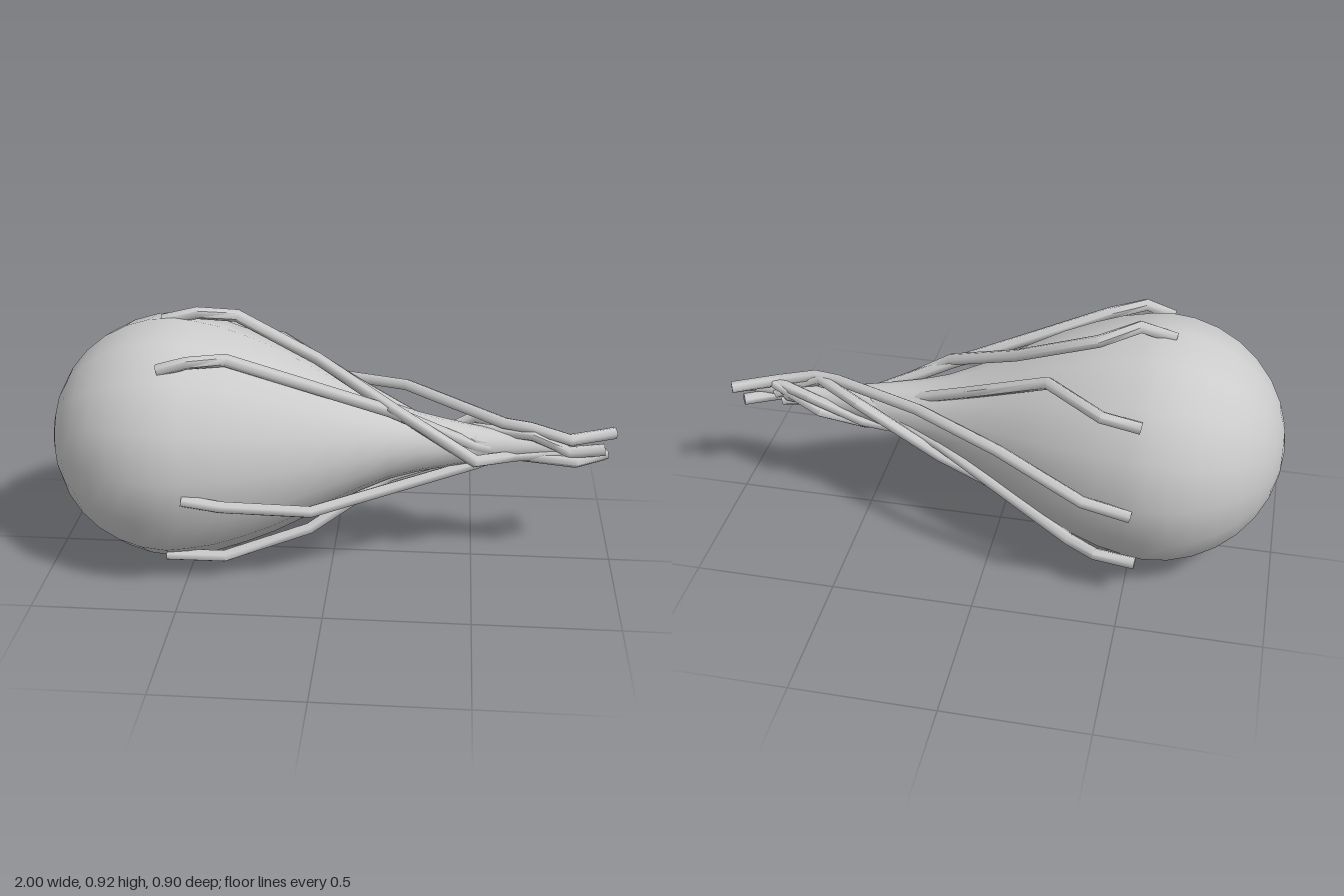
import * as THREE from 'three';
import { toCreasedNormals } from 'three/addons/utils/BufferGeometryUtils.js';

const material = new THREE.MeshStandardMaterial({ color: 0xcccccc });

// Six-sided rod swept along a polyline, with mitred bends and flat caps
function vineGeometry(coords, radius = 0.022, sides = 6) {
  const pts = coords.map(c => new THREE.Vector3(...c));
  const last = pts.length - 1;
  const dir = i => pts[i + 1].clone().sub(pts[i]).normalize();
  const pos = [], index = [];
  const u = new THREE.Vector3(0, 1, 0);
  pts.forEach((p, i) => {
    const before = dir(Math.max(i - 1, 0)), after = dir(Math.min(i, last - 1));
    const mitre = before.clone().add(after).normalize();
    u.addScaledVector(before, -u.dot(before)).normalize();
    const v = before.clone().cross(u);
    for (let s = 0; s < sides; s++) {
      const a = s / sides * Math.PI * 2;
      const offset = u.clone().multiplyScalar(Math.cos(a) * radius).addScaledVector(v, Math.sin(a) * radius);
      // slide along the incoming rod until the mitre plane is reached
      offset.addScaledVector(before, -offset.dot(mitre) / before.dot(mitre)).add(p);
      pos.push(...offset.toArray());
      if (i < last) {
        const b = i * sides + s, c = i * sides + (s + 1) % sides;
        index.push(b, c, b + sides, c, c + sides, b + sides);
      }
    }
  });
  for (let s = 1; s < sides - 1; s++) {
    index.push(0, s + 1, s);
    index.push(last * sides, last * sides + s, last * sides + s + 1);
  }
  const g = new THREE.BufferGeometry();
  g.setAttribute('position', new THREE.Float32BufferAttribute(pos, 3));
  g.setIndex(index);
  return toCreasedNormals(g, 1.1);
}

export function createModel() {
  const group = new THREE.Group();

  // Bulb: rounded end, then a long taper into a thin neck
  const profile = [];
  for (let i = 0; i <= 8; i++) {
    const a = i / 8 * Math.PI / 2;
    profile.push(new THREE.Vector2(Math.sin(a) * 0.437, -0.56 - Math.cos(a) * 0.44));
  }
  const taper = new THREE.SplineCurve([
    [0.437, -0.56], [0.41, -0.4], [0.335, -0.2], [0.23, 0], [0.135, 0.2],
    [0.085, 0.4], [0.05, 0.6], [0.03, 0.8],
  ].map(p => new THREE.Vector2(...p)));
  profile.push(...taper.getPoints(14).slice(1), new THREE.Vector2(0, 0.83));
  const bulb = new THREE.Mesh(new THREE.LatheGeometry(profile, 16), material);
  bulb.name = 'bulb';
  bulb.rotation.z = -Math.PI / 2;
  bulb.position.set(0, 0.45, 0.012);
  group.add(bulb);

  // Vines: rooted on the bulb, twisting together around the neck
  const vines = {
    vineTop: [[-0.6, 0.87, -0.01], [-0.48, 0.9, -0.01], [-0.35, 0.87, -0.08], [-0.06, 0.74, -0.02],
      [0.2, 0.615, 0.1], [0.5, 0.425, 0.11], [0.64, 0.42, 0.04], [0.82, 0.43, 0.03]],
    vineTopFront: [[-0.57, 0.79, 0.27], [-0.47, 0.82, 0.275], [-0.35, 0.81, 0.21], [0.2, 0.6, 0.1],
      [0.5, 0.46, 0.06], [0.66, 0.42, 0.03], [0.85, 0.41, 0.05], [0.96, 0.415, -0.015]],
    vineTopBack: [[-0.53, 0.715, -0.33], [-0.4, 0.74, -0.33], [-0.2, 0.755, -0.19], [0.1, 0.61, -0.09],
      [0.3, 0.52, -0.03], [0.5, 0.48, 0.05], [0.7, 0.43, 0.02], [0.82, 0.41, 0.02]],
    vineBack: [[-0.52, 0.42, -0.42], [-0.36, 0.465, -0.43], [-0.06, 0.565, -0.34], [0.25, 0.585, -0.19],
      [0.6, 0.53, 0.01], [0.69, 0.525, 0.03], [0.83, 0.485, 0.035], [0.99, 0.483, -0.045]],
    vineFront: [[-0.48, 0.385, 0.42], [-0.35, 0.36, 0.41], [-0.06, 0.295, 0.29], [0.5, 0.365, 0],
      [0.66, 0.42, -0.04], [0.85, 0.48, 0.02]],
    vineBottomFront: [[-0.57, 0.095, 0.26], [-0.37, 0.085, 0.24], [-0.08, 0.145, 0.12],
      [0.2, 0.32, 0.03], [0.5, 0.4, -0.04], [0.7, 0.47, -0.03], [0.85, 0.48, 0.03]],
    vineBottom: [[-0.56, 0.04, -0.11], [-0.42, 0.025, -0.1], [-0.23, 0.07, -0.04], [0.2, 0.34, -0.11],
      [0.5, 0.51, -0.09], [0.67, 0.52, 0.02], [0.83, 0.44, 0.04], [0.95, 0.45, 0.03]],
    vineBottomBack: [[-0.54, 0.165, -0.35], [-0.4, 0.175, -0.34], [-0.3, 0.175, -0.28], [0.2, 0.38, -0.1],
      [0.5, 0.49, -0.03], [0.7, 0.5, 0.04], [0.85, 0.43, 0.03]],
  };
  for (const [name, path] of Object.entries(vines)) {
    const vine = new THREE.Mesh(vineGeometry(path), material);
    vine.name = name;
    group.add(vine);
  }
  return group;
}
